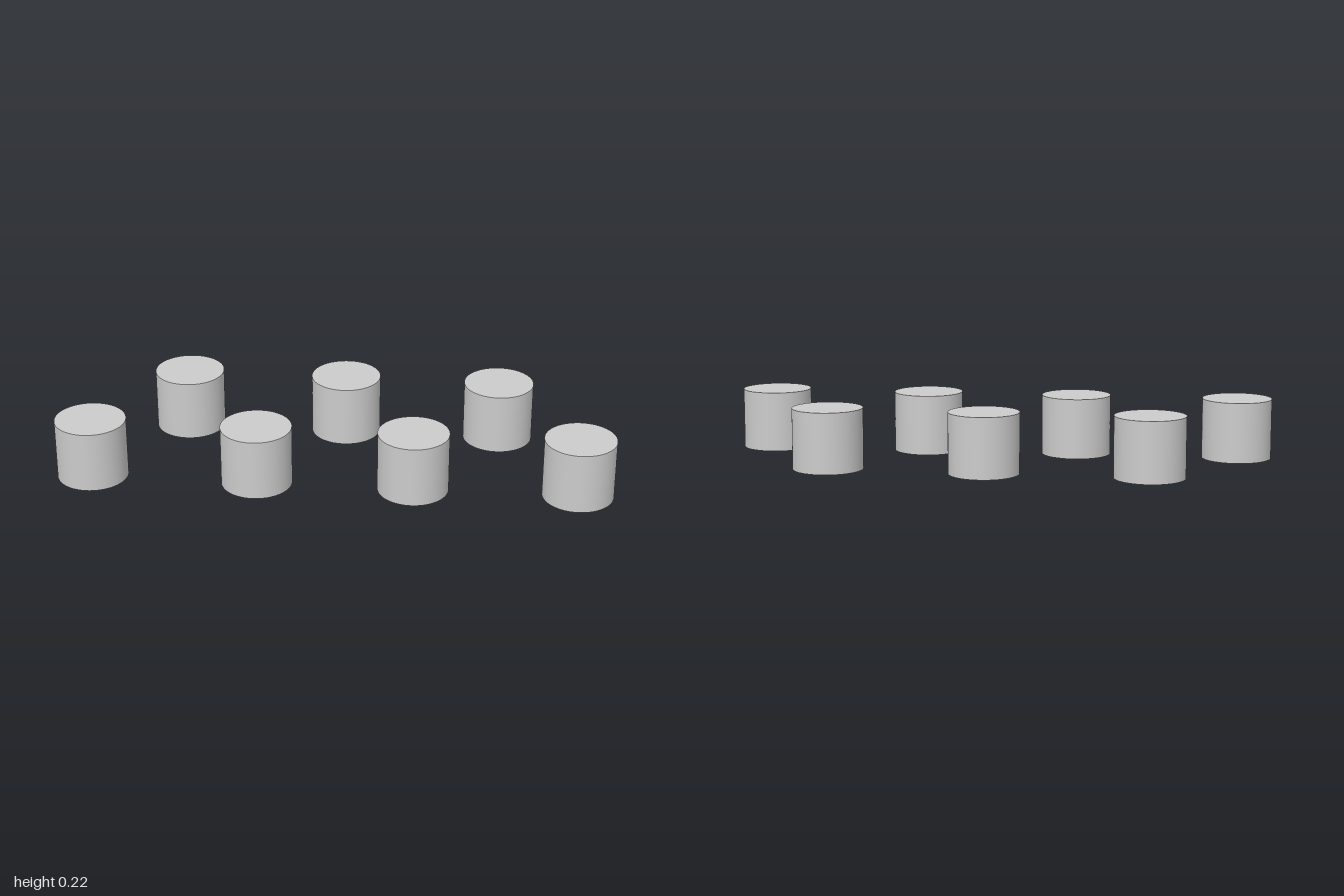
import * as THREE from 'three';

const RADIUS = 0.128;
const HEIGHT = 0.222;

// Centres [x, z] of the discs in each staggered row
const ROWS = {
  frontCylinder: [[-0.872, 0.222], [-0.275, 0.222], [0.286, 0.219], [0.872, 0.211]],
  backCylinder: [[-0.583, -0.214], [0.006, -0.222], [0.575, -0.214]],
};

export function createModel() {
  const model = new THREE.Group();
  model.name = 'cylinderSet';
  const material = new THREE.MeshStandardMaterial({ color: 0xcccccc });

  // One solid cylinder, standing on the ground
  const geometry = new THREE.CylinderGeometry(RADIUS, RADIUS, HEIGHT, 64);
  geometry.translate(0, HEIGHT / 2, 0);

  for (const [name, centres] of Object.entries(ROWS)) {
    centres.forEach(([x, z], i) => {
      const cylinder = new THREE.Mesh(geometry, material);
      cylinder.name = `${name}${i + 1}`;
      cylinder.position.set(x, 0, z);
      model.add(cylinder);
    });
  }
  return model;
}
